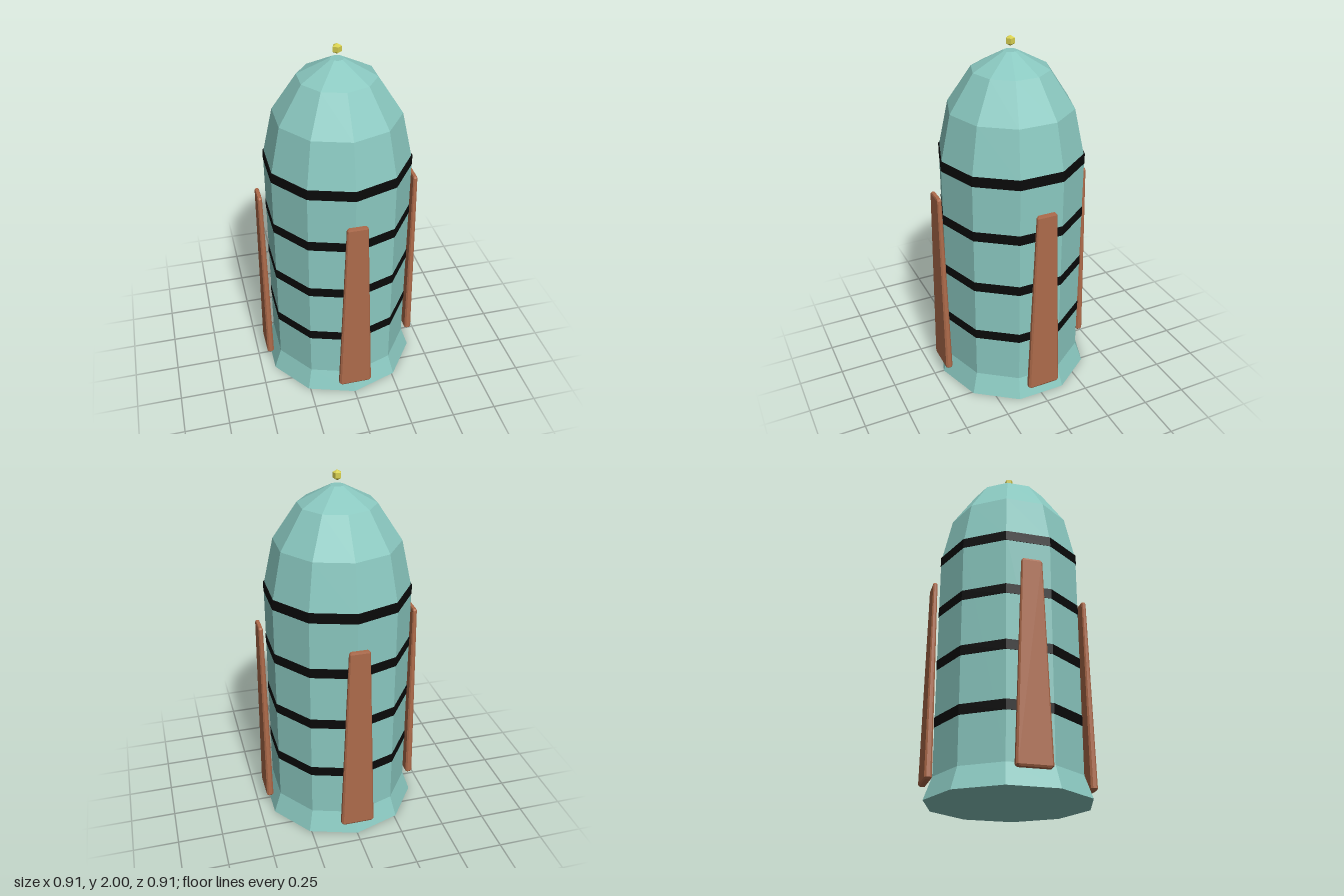
import * as THREE from 'three';

const material = (name, color) => {
  const m = new THREE.MeshStandardMaterial({ color });
  m.name = name;
  return m;
};

// Split the faces so every facet is shaded flat
function flat(geometry) {
  const g = geometry.index ? geometry.toNonIndexed() : geometry;
  g.computeVertexNormals();
  return g;
}

function lathe(profile, sides) {
  return flat(new THREE.LatheGeometry(profile.map(([r, y]) => new THREE.Vector2(r, y)), sides));
}

// Tapered board with chamfered edges; levels are [y, half width, half thickness]
function boardGeometry(levels) {
  const positions = [];
  const index = [];
  for (const [y, w, t] of levels) {
    const c = t * 0.5;
    const loop = [[w - c, t], [w, t - c], [w, c - t], [w - c, -t],
      [c - w, -t], [-w, c - t], [-w, t - c], [c - w, t]];
    for (const [x, z] of loop) positions.push(x, y, z);
  }
  const last = (levels.length - 1) * 8;
  for (let i = 0; i < last; i += 8) {
    for (let j = 0; j < 8; j++) {
      const k = (j + 1) % 8;
      index.push(i + j, i + k, i + 8 + k, i + j, i + 8 + k, i + 8 + j);
    }
  }
  for (let j = 1; j < 7; j++) {
    index.push(0, j + 1, j, last, last + j, last + j + 1);
  }
  const g = new THREE.BufferGeometry();
  g.setAttribute('position', new THREE.Float32BufferAttribute(positions, 3));
  g.setIndex(index);
  return flat(g);
}

export function createModel() {
  const model = new THREE.Group();
  model.name = 'domedTower';
  const teal = material('teal', 0x8ac8c0);
  const black = material('black', 0x0a0a0a);
  const brown = material('brown', 0xad6a4a);
  const yellow = material('yellow', 0xd8d050);

  const add = (name, geometry, mat) => {
    const mesh = new THREE.Mesh(geometry, mat);
    mesh.name = name;
    model.add(mesh);
    return mesh;
  };

  // Ten-sided body with flared foot and faceted dome
  add('body', lathe([
    [0, 0], [0.443, 0], [0.4, 0.12], [0.4, 1.36],
    [0.341, 1.63], [0.208, 1.83], [0.037, 1.922], [0, 1.922],
  ], 10), teal);

  // Four thin hoops around the body
  [0.403, 0.72, 1.035, 1.353].forEach((y, i) => {
    const h = 0.0275;
    add(`hoop${i + 1}`, lathe([
      [0.39, y - h], [0.402, y - h], [0.402, y + h], [0.39, y + h], [0.39, y - h],
    ], 10), black);
  });

  // Four tapered boards, one on each side
  const board = boardGeometry([
    [0.085, 0.085, 0.014], [0.095, 0.094, 0.0195],
    [1.18, 0.056, 0.012], [1.19, 0.049, 0.009],
  ]);
  ['front', 'left', 'back', 'right'].forEach((side, i) => {
    const mesh = add(`${side}Board`, board, brown);
    const angle = i * Math.PI / 2;
    mesh.rotation.y = angle;
    mesh.position.set(Math.sin(angle) * 0.436, 0, Math.cos(angle) * 0.436);
  });

  // Small faceted ball above the dome
  const r = 0.028;
  add('finial', lathe([
    [0, -r], [r * 0.87, -r / 2], [r * 0.87, r / 2], [0, r],
  ], 5), yellow).position.y = 2 - r;

  return model;
}
